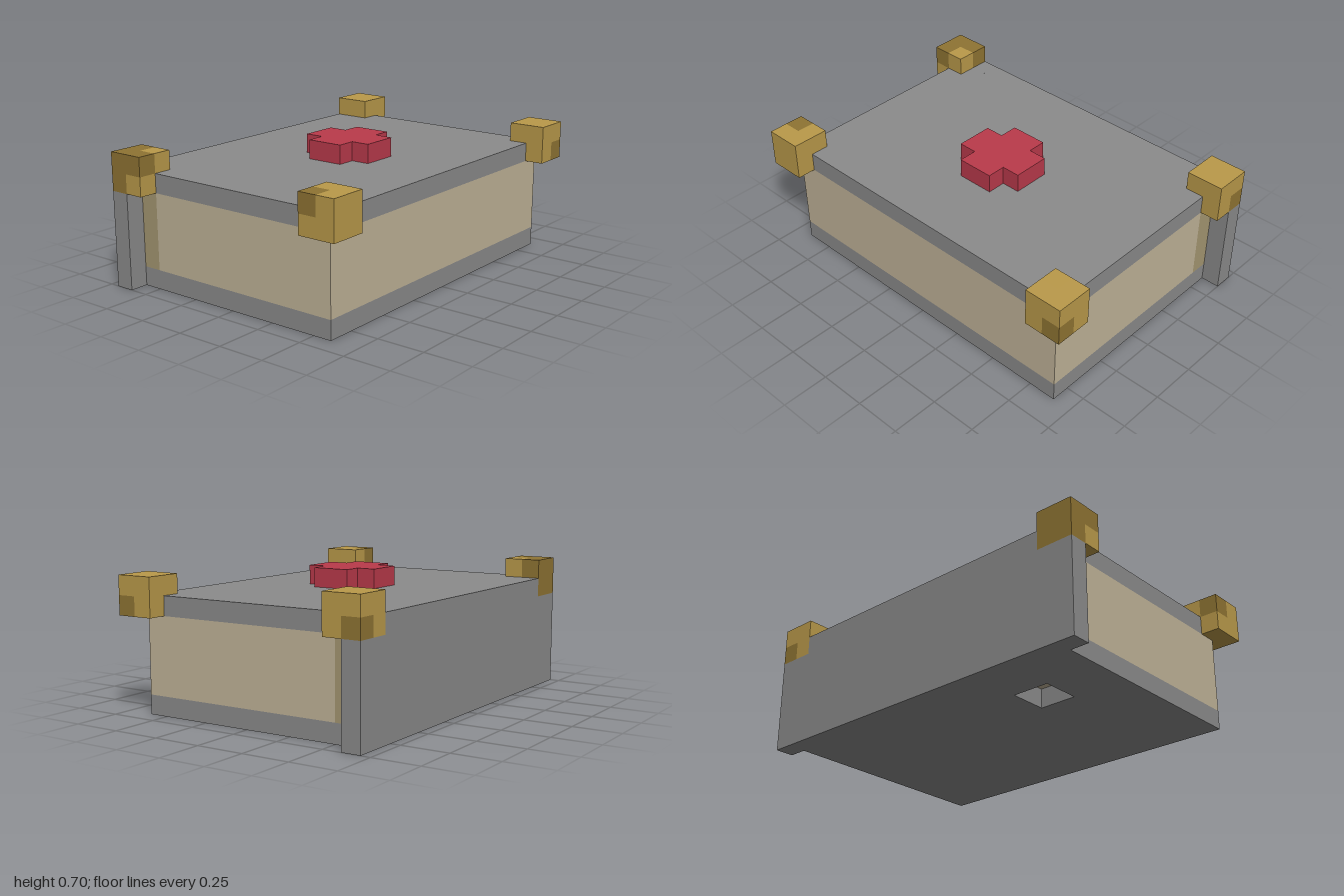
import * as THREE from 'three';

const material = (name, color) => Object.assign(new THREE.MeshStandardMaterial({ color }), { name });

export function createModel() {
  const cover = material('coverGrey', 0x8b8b8b);
  const paper = material('paper', 0xc0b398);
  const agedPaper = material('agedPaper', 0xa59772);
  const gold = material('gold', 0xba9a4a);
  const darkGold = material('darkGold', 0x8f7433);
  const red = material('red', 0xba3a4b);

  const model = new THREE.Group();
  model.name = 'book';

  // Box given by its lower and upper limits on each axis
  const box = (name, mat, [x0, x1], [y0, y1], [z0, z1], parent = model) => {
    const mesh = new THREE.Mesh(new THREE.BoxGeometry(x1 - x0, y1 - y0, z1 - z0), mat);
    mesh.position.set((x0 + x1) / 2, (y0 + y1) / 2, (z0 + z1) / 2);
    mesh.name = name;
    parent.add(mesh);
    return mesh;
  };

  // Shape drawn in the ground plane (shape y = -z) and raised to a slab
  const slab = (name, mat, shape, y, height) => {
    const geometry = new THREE.ExtrudeGeometry(shape, { depth: height, bevelEnabled: false });
    geometry.rotateX(-Math.PI / 2);
    const mesh = new THREE.Mesh(geometry, mat);
    mesh.position.y = y;
    mesh.name = name;
    model.add(mesh);
  };
  const outline = (points) => points.map(([x, y]) => new THREE.Vector2(x, y));

  // Back cover, with a small square hole underneath
  const base = new THREE.Shape(outline([[-0.6, -0.9], [0.6, -0.9], [0.6, 0.9], [-0.6, 0.9]]));
  base.holes.push(new THREE.Path(outline([[-0.4, -0.6], [-0.4, -0.4], [-0.2, -0.4], [-0.2, -0.6]])));
  slab('bottomCover', cover, base, 0, 0.1);
  box('topCover', cover, [-0.6, 0.6], [0.5, 0.6], [-0.9, 0.9]);

  // Spine, notched at the top for the corner pieces
  box('spine', cover, [-0.7, -0.6], [0, 0.5], [-1, 1]);
  box('spineTop', cover, [-0.7, -0.6], [0.5, 0.6], [-0.8, 0.8]);

  // Pages, with aged paper beside the spine
  box('pages', paper, [-0.5, 0.6], [0.1, 0.5], [-0.9, 0.9]);
  box('agedPages', agedPaper, [-0.6, -0.5], [0.1, 0.5], [-0.9, 0.9]);

  // Raised cross on the cover
  const a = 0.1, b = 0.2;
  const cross = new THREE.Shape(outline([
    [-a, -b], [a, -b], [a, -a], [b, -a], [b, a], [a, a],
    [a, b], [-a, b], [-a, a], [-b, a], [-b, -a], [-a, -a],
  ]));
  slab('cross', red, cross, 0.6, 0.1);

  // Corner pieces of eight cells; i, j, k count cells along x, y, z
  const corners = [
    ['frontRightCorner', -0.7, 0.8, (i, j, k) => !(i === 1 && j !== k)
      || !((j === 0 && k === 1) || (j === 1 && k === 0))],
    ['frontLeftCorner', 0.5, 0.8, (i, j, k) => i === 0 && j === 1 && k === 1],
    ['backRightCorner', -0.7, -1, (i, j, k) => i === 0 && j === 0 && k === 0],
    ['backLeftCorner', 0.5, -1, (i, j, k) => i === 1 && j === 0 && k === 0],
  ];
  for (const [name, x, z, isDark] of corners) {
    const corner = new THREE.Group();
    corner.name = name;
    model.add(corner);
    for (let i = 0; i < 2; i++) for (let j = 0; j < 2; j++) for (let k = 0; k < 2; k++) {
      const span = (start, n) => [start + n * 0.1, start + (n + 1) * 0.1];
      box('cornerCell', isDark(i, j, k) ? darkGold : gold, span(x, i), span(0.5, j), span(z, k), corner);
    }
  }
  return model;
}
